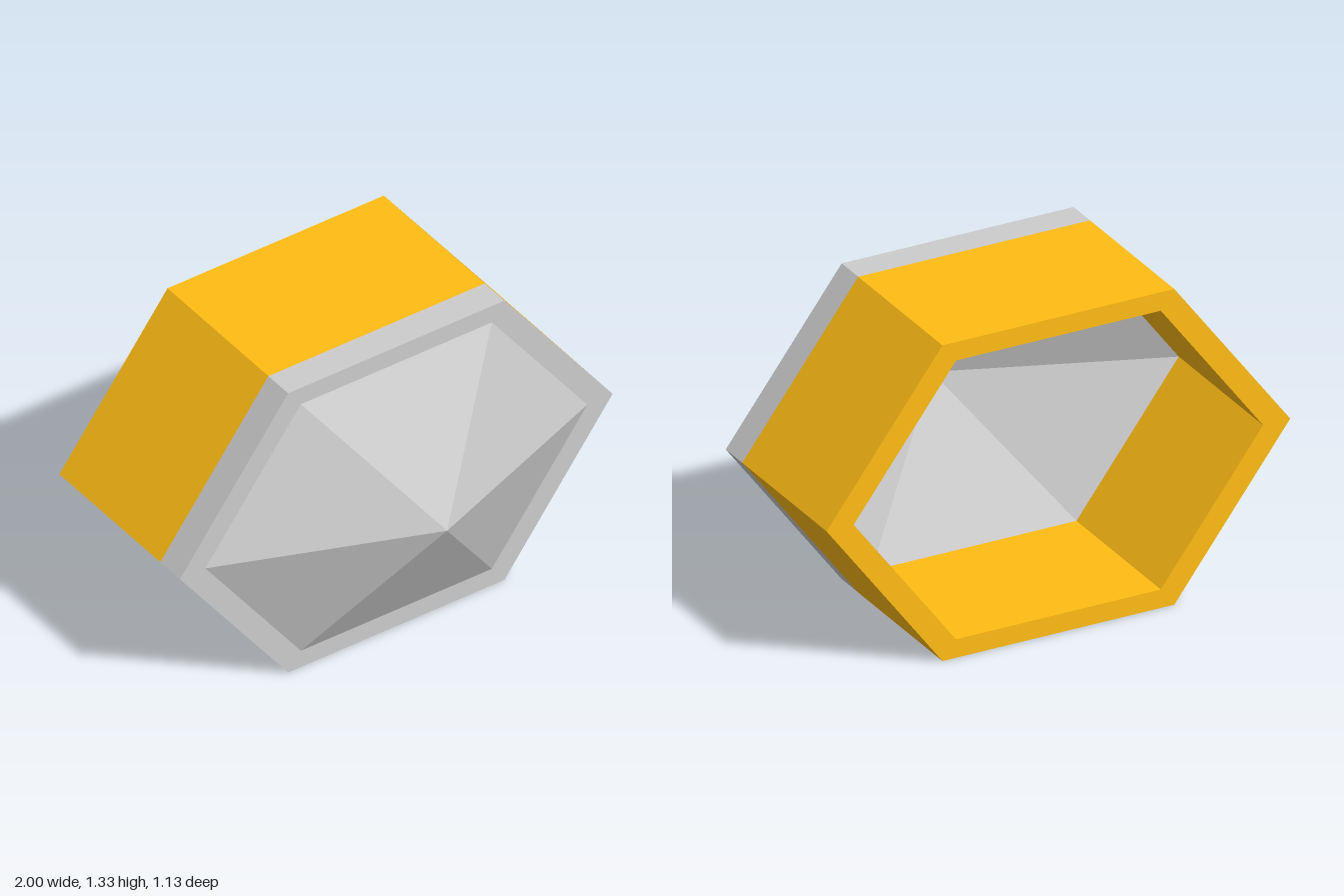
import * as THREE from 'three';

const RIM = 0.883;                          // inner hexagon relative to outer
const BACK = -0.565, JOINT = 0.1, FACE = 0.23, TIP = 0.565;
const NOSE_WALL = FACE - JOINT;             // nose thickness along z
const HALF_HEIGHT = 0.667;

// Six-sided part along z from a [radius, z] profile, flattened in height
function hexPart(name, profile, color) {
  const points = profile.map(([r, z]) => new THREE.Vector2(r, z));
  const geometry = new THREE.LatheGeometry(points, 6, Math.PI / 2)
    .rotateX(Math.PI / 2)
    .scale(1, HALF_HEIGHT / Math.sin(Math.PI / 3), 1)
    .translate(0, HALF_HEIGHT, 0)
    .toNonIndexed();
  geometry.computeVertexNormals();
  const mesh = new THREE.Mesh(geometry, new THREE.MeshStandardMaterial({ color, flatShading: true }));
  mesh.name = name;
  return mesh;
}

export function createModel() {
  const model = new THREE.Group();
  model.name = 'hexagonalCasing';

  // Hollow sleeve, open at the back
  model.add(hexPart('sleeve', [[RIM, JOINT], [RIM, BACK], [1, BACK], [1, JOINT]], 0xffbc14));

  // Front collar with a hollow pyramid nose
  model.add(hexPart('pyramidNose', [
    [0, TIP - NOSE_WALL], [RIM, JOINT], [1, JOINT],
    [1, FACE], [RIM, FACE], [0, TIP],
  ], 0xcccccc));

  return model;
}
